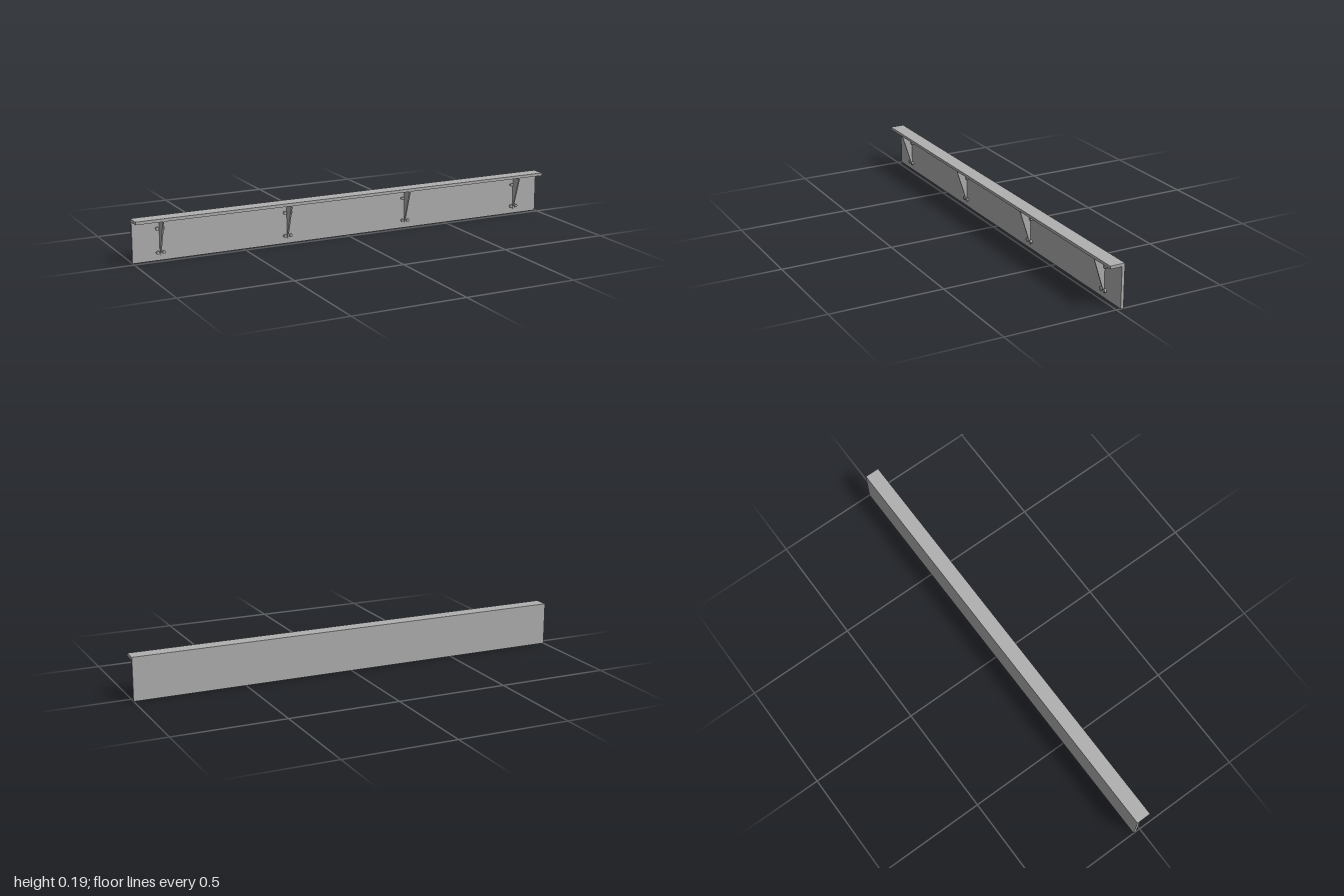
import * as THREE from 'three';

const steel = new THREE.MeshStandardMaterial({ color: 0xb0b0b0 });
steel.name = 'grey steel';

const BACK = -0.033, FACE = -0.02, FRONT = 0.034;
const HEIGHT = 0.192, FLANGE_UNDERSIDE = 0.179;

// Extrude a (z, y) outline along x, centred on x = 0
function extrudeAlongX(points, width) {
  const shape = new THREE.Shape(points.map(([z, y]) => new THREE.Vector2(-z, y)));
  return new THREE.ExtrudeGeometry(shape, { depth: width, bevelEnabled: false })
    .translate(0, 0, -width / 2)
    .rotateY(Math.PI / 2);
}

function addMesh(parent, name, geometry, x = 0, y = 0, z = 0) {
  const mesh = new THREE.Mesh(geometry, steel);
  mesh.name = name;
  mesh.position.set(x, y, z);
  parent.add(mesh);
}

export function createModel() {
  const group = new THREE.Group();
  group.name = 'angleLintel';

  // L-shaped beam: upright web with a flange along the top
  addMesh(group, 'angleBeam', extrudeAlongX([
    [BACK, 0], [FACE, 0], [FACE, FLANGE_UNDERSIDE],
    [FRONT, FLANGE_UNDERSIDE], [FRONT, HEIGHT], [BACK, HEIGHT],
  ], 2));

  const gussetGeometry = extrudeAlongX(
    [[FACE, 0.018], [0.031, FLANGE_UNDERSIDE], [FACE, FLANGE_UNDERSIDE]], 0.006);
  const washerGeometry = new THREE.CylinderGeometry(0.0078, 0.0078, 0.002, 20).rotateX(Math.PI / 2);
  const headGeometry = new THREE.CylinderGeometry(0.0075, 0.0075, 0.008, 6)
    .rotateY(Math.PI / 6).rotateX(Math.PI / 2);

  // Stiffeners, each flanked by two pairs of hex bolts
  for (const x of [-0.877, -0.292, 0.292, 0.877]) {
    const stiffener = new THREE.Group();
    stiffener.name = 'stiffener';
    stiffener.position.x = x;
    addMesh(stiffener, 'gusset', gussetGeometry);
    for (const y of [0.035, 0.139]) {
      for (const side of [-1, 1]) {
        addMesh(stiffener, 'washer', washerGeometry, side * 0.0135, y, FACE + 0.001);
        addMesh(stiffener, 'boltHead', headGeometry, side * 0.0135, y, FACE + 0.0055);
      }
    }
    group.add(stiffener);
  }
  return group;
}
